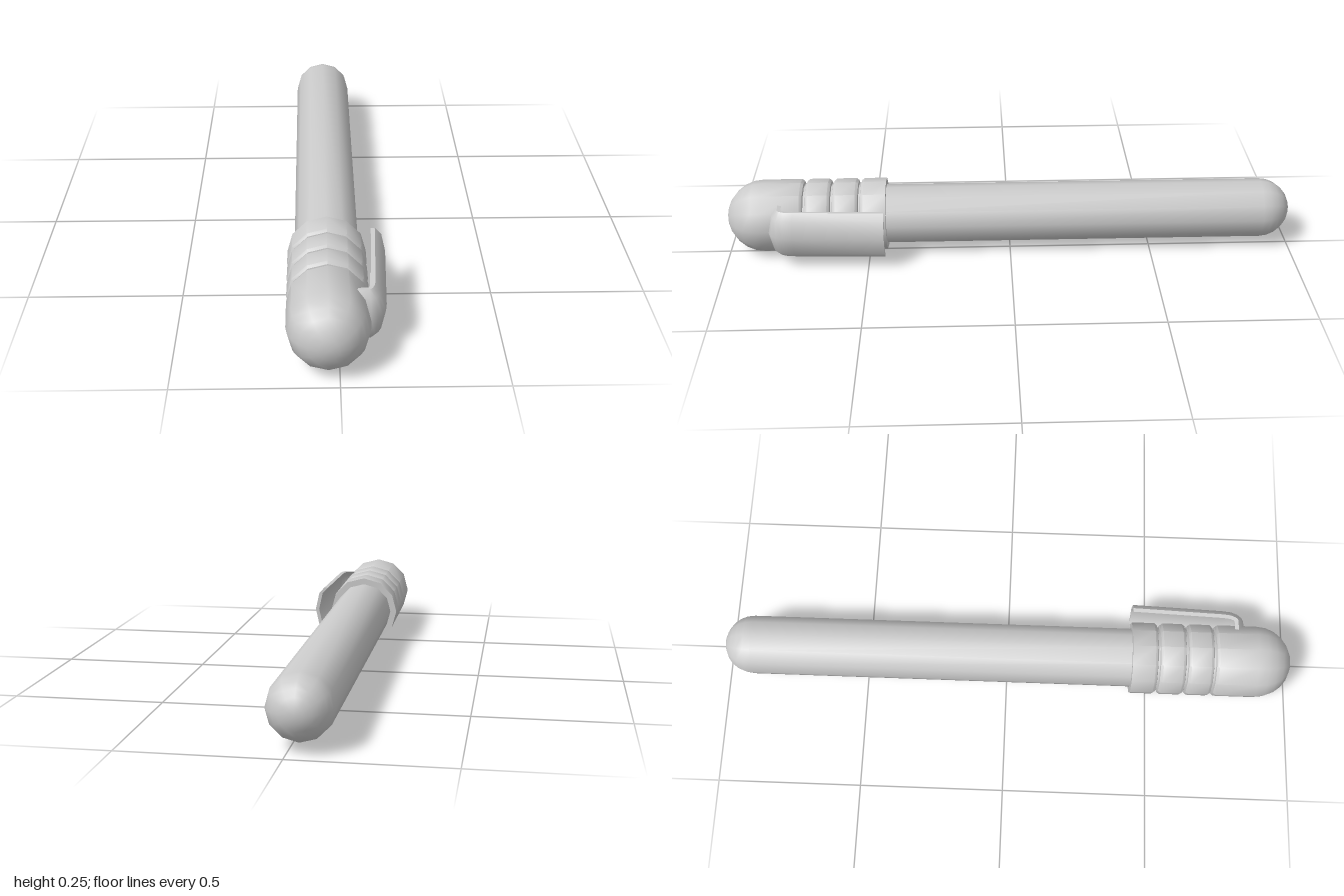
import * as THREE from 'three';
import { toCreasedNormals } from 'three/addons/utils/BufferGeometryUtils.js';

const CX = -0.033, CY = 0.127; // barrel axis
const SIDES = 12;

export function createModel() {
  const group = new THREE.Group();
  const material = new THREE.MeshStandardMaterial({ color: 0xcccccc });

  function add(name, geometry) {
    const mesh = new THREE.Mesh(toCreasedNormals(geometry, 0.7), material);
    mesh.name = name;
    group.add(mesh);
    return mesh;
  }

  // Turned part along z from [radius, z] pairs, z rising
  function turned(name, profile) {
    const points = profile.map(([r, z]) => new THREE.Vector2(r, z));
    const mesh = add(name, new THREE.LatheGeometry(points, SIDES).rotateX(Math.PI / 2));
    mesh.position.set(CX, CY, 0);
  }

  // Quarter-round dome profile; dir = +1 closes toward +z, -1 toward -z
  function dome(r, z, dir) {
    const pts = [];
    for (let i = 0; i <= 6; i++) {
      const a = (i / 6) * Math.PI / 2;
      pts.push([i === 6 ? 0 : r * Math.cos(a), z + dir * r * Math.sin(a)]);
    }
    return dir > 0 ? pts : pts.reverse();
  }

  // Barrel with rounded end
  turned('barrel', [...dome(0.104, -0.896, -1), [0.104, 0.5], [0, 0.5]]);

  // Cap with three grooves and rounded nose
  const R = 0.127, cap = [[0.1, 0.436], [R, 0.436]];
  for (const z of [0.529, 0.626, 0.722]) {
    cap.push([R, z - 0.014], [R - 0.007, z - 0.005], [R - 0.016, z - 0.003],
      [R - 0.016, z + 0.003], [R - 0.007, z + 0.005], [R, z + 0.014]);
  }
  turned('cap', [...cap, ...dome(R, 1 - R, 1)]);

  // Clip: curved strip swept along an L-shaped path of [x, z]
  const path = [[0.157, 0.44], [0.145, 0.755], [0.141, 0.79], [0.131, 0.815],
    [0.116, 0.833], [0.095, 0.842], [0.04, 0.845]];
  // Cross-section: [height, inward offset], outer face then inner face
  const outer = [[0.0865, 0.035], [0.064, 0.014], [0, 0], [-0.064, 0.014], [-0.0865, 0.035]];
  const inner = outer.map(([h, d]) => [h * 0.98, d + 0.013]).reverse();
  const section = [...outer, ...inner];
  const n = section.length, positions = [], index = [];
  path.forEach(([x, z], i) => {
    const a = path[Math.max(i - 1, 0)], b = path[Math.min(i + 1, path.length - 1)];
    const t = new THREE.Vector2(b[0] - a[0], b[1] - a[1]).normalize();
    if (i === 0) t.set(0, 1);
    for (const [h, d] of section) positions.push(x - t.y * d, CY + h, z + t.x * d);
  });
  for (let i = 0; i < path.length - 1; i++) {
    for (let j = 0; j < n; j++) {
      const a = i * n + j, b = i * n + (j + 1) % n;
      index.push(a, a + n, b, b, a + n, b + n);
    }
  }
  // End faces of the strip
  const last = (path.length - 1) * n;
  for (let j = 0; j < n / 2 - 1; j++) {
    const q = [j, j + 1, n - 2 - j, n - 1 - j];
    index.push(q[0], q[1], q[2], q[0], q[2], q[3]);
    index.push(last + q[0], last + q[2], last + q[1], last + q[0], last + q[3], last + q[2]);
  }
  const strip = new THREE.BufferGeometry();
  strip.setAttribute('position', new THREE.Float32BufferAttribute(positions, 3));
  strip.setIndex(index);
  const clip = add('clip', strip);
  clip.material = material.clone();
  clip.material.side = THREE.DoubleSide;

  return group;
}
